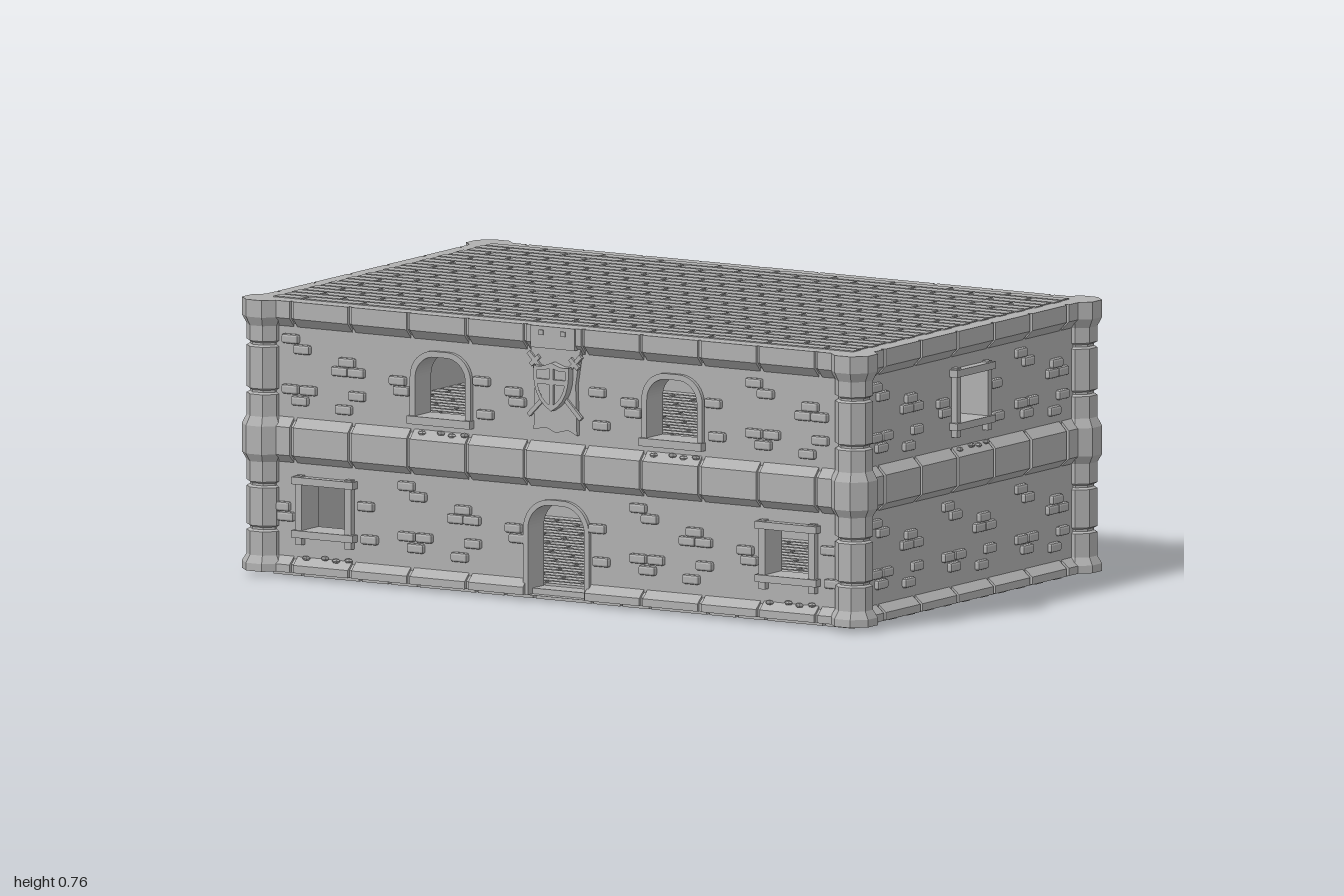
import * as THREE from 'three';
import { mergeGeometries } from 'three/addons/utils/BufferGeometryUtils.js';
import { RoundedBoxGeometry } from 'three/addons/geometries/RoundedBoxGeometry.js';

const stone = new THREE.MeshStandardMaterial({ color: 0xb0b0b0 });
stone.name = 'grey stone';

const UP = 0.373;   // height of one storey
const TILE = 0.37;  // the building follows a 5 x 3 grid of tiles

// Merge pieces into one named mesh with crisp edges
function part(parent, name, pieces) {
  const flat = pieces.map((g) => {
    const f = g.index ? g.toNonIndexed() : g;
    f.computeVertexNormals();
    return f;
  });
  const mesh = new THREE.Mesh(mergeGeometries(flat), stone);
  mesh.name = name;
  parent.add(mesh);
  return mesh;
}

const box = (w, h, d, x, y, z) => new THREE.BoxGeometry(w, h, d).translate(x, y, z);

function extrude(shape, depth, z = 0) {
  return new THREE.ExtrudeGeometry(shape, { depth, bevelEnabled: false, curveSegments: 6 }).translate(0, 0, z);
}

// Rectangle whose two top corners are rounded by r
function arch(path, x, half, y0, y1, r) {
  path.moveTo(x - half, y0);
  path.lineTo(x + half, y0);
  if (r) {
    path.lineTo(x + half, y1 - r);
    path.absarc(x + half - r, y1 - r, r, 0, Math.PI / 2);
    path.absarc(x - half + r, y1 - r, r, Math.PI / 2, Math.PI);
  } else {
    path.lineTo(x + half, y1);
    path.lineTo(x - half, y1);
  }
  path.closePath();
  return path;
}

// Running-bond paving; tiled also breaks it along the tile grid
function paving(y0, y1, hx, hz, tiled) {
  const out = [], rows = 24, pitch = (2 * hz) / rows, brick = TILE / 2, gap = 0.009;
  for (let r = 0; r < rows; r++) {
    const z = -hz + (r + 0.5) * pitch;
    const cuts = [-hx, hx];
    for (let i = -6; i <= 6; i++) cuts.push(i * brick + (r % 2 ? brick / 2 : 0));
    if (tiled) for (let i = -1.5; i <= 1.5; i++) cuts.push(i * TILE);
    const xs = cuts.filter((c) => Math.abs(c) <= hx).sort((a, b) => a - b);
    for (let i = 1; i < xs.length; i++) {
      const w = xs[i] - xs[i - 1] - gap, x = (xs[i] + xs[i - 1]) / 2;
      if (w < 0.01) continue;
      if (tiled && Math.abs(x) < TILE / 2 && Math.abs(z) < TILE / 2) continue;
      out.push(box(w, y1 - y0, pitch - gap, x, (y0 + y1) / 2, z));
    }
  }
  return out;
}

// Stone courses: profiles of [outward offset, y]
const courses = {
  topCourse: [[-0.02, 0.685], [0, 0.685], [0.024, 0.71], [0.024, 0.757], [-0.02, 0.757]],
  middleCourse: [[-0.02, 0.313], [0, 0.313], [0.024, 0.335], [0.024, 0.412], [0, 0.437], [-0.02, 0.437]],
  bottomCourse: [[-0.02, 0.015], [0.024, 0.015], [0.024, 0.036], [0, 0.057], [-0.02, 0.057]],
};

function course(profile, joints, inset, gap, skipDoor) {
  const shape = new THREE.Shape(profile.map(([d, y]) => new THREE.Vector2(d - inset, y)));
  const out = [];
  for (let i = 1; i < joints.length; i++) {
    const a = joints[i - 1] + gap / 2, b = joints[i] - gap / 2;
    if (skipDoor && Math.abs(a + b) < 0.01) continue;
    out.push(extrude(shape, b - a).rotateY(-Math.PI / 2).translate(b, 0, 0));
  }
  return out;
}

// Raised wall bricks: [u, y] inside one tile
const brickSpots = [
  [0.073, 0.279], [0.11, 0.252], [0.253, 0.228], [0.231, 0.202], [0.283, 0.202],
  [0.073, 0.141], [0.13, 0.141], [0.103, 0.111], [0.285, 0.138], [0.243, 0.098],
];
const besideOpening = [[-0.14, 0.192], [-0.127, 0.165], [0.128, 0.212], [0.14, 0.122]];

function wallBricks(tiles, openings) {
  const out = [];
  const add = (u, y) => out.push(new RoundedBoxGeometry(0.053, 0.026, 0.026, 1, 0.006).translate(u, y, 0));
  for (let floor = 0; floor < 2; floor++) {
    for (let t = 0; t < tiles; t++) {
      const start = (t - tiles / 2) * TILE;
      const open = openings.some((o) => o.floor === floor && Math.abs(o.u - start - TILE / 2) < 0.1);
      for (const [u, y] of brickSpots)
        if (!open || Math.abs(u - TILE / 2) > 0.13) add(start + u, y + floor * UP);
      if (open) for (const [u, y] of besideOpening) add(start + TILE / 2 + u, y + floor * UP);
    }
  }
  return out;
}

// One side of the building, facing local +z with the wall plane at z = 0
function side(name, angle, half, dist, tiles, openings) {
  const g = new THREE.Group();
  g.name = name;
  const door = openings.some((o) => o.type === 'door');
  const end = half - 0.01;
  const outline = new THREE.Shape();
  outline.moveTo(-end, 0.016);
  if (door) {
    outline.lineTo(-0.09, 0.016);
    outline.lineTo(-0.09, 0.195);
    outline.absarc(-0.02, 0.195, 0.07, Math.PI, Math.PI / 2, true);
    outline.absarc(0.02, 0.195, 0.07, Math.PI / 2, 0, true);
    outline.lineTo(0.09, 0.016);
  }
  outline.lineTo(end, 0.016);
  outline.lineTo(end, 0.745);
  outline.lineTo(-end, 0.745);
  outline.closePath();

  const frames = [], pebbles = [];
  for (const { u, floor, type } of openings) {
    const dy = floor * UP;
    if (type === 'square') {
      outline.holes.push(arch(new THREE.Path(), u, 0.07, 0.132 + dy, 0.262 + dy, 0));
      // timber frame with overlapping ends
      for (const s of [-1, 1]) frames.push(box(0.02, 0.19, 0.024, u + s * 0.079, 0.187 + dy, 0.006));
      for (const y of [0.122, 0.268]) frames.push(box(0.196, 0.02, 0.034, u, y + dy, 0.008));
    } else if (type === 'arched') {
      outline.holes.push(arch(new THREE.Path(), u, 0.08, 0.102 + dy, 0.267 + dy, 0.06));
      const ring = arch(new THREE.Shape(), u, 0.097, 0.085 + dy, 0.283 + dy, 0.075);
      ring.holes.push(arch(new THREE.Path(), u, 0.08, 0.102 + dy, 0.267 + dy, 0.06));
      frames.push(extrude(ring, 0.032, -0.02), box(0.2, 0.022, 0.045, u, 0.091 + dy, 0));
    } else if (type === 'door') {
      const ring = arch(new THREE.Shape(), u, 0.105, 0.014, 0.28, 0.085);
      ring.holes.push(arch(new THREE.Path(), u, 0.09, 0.0145, 0.265, 0.07));
      frames.push(extrude(ring, 0.032, -0.02));
    }
    if (type === 'square' || type === 'arched')
      [-0.06, 0, 0.035, 0.075].forEach((p, i) => pebbles.push(
        new THREE.SphereGeometry(0.011, 6, 4).scale(1.2, 0.6, 0.9).translate(u + p, 0.056 + dy + (i % 2) * 0.004, 0.008)));
  }
  part(g, 'wall', [extrude(outline, 0.07, -0.07)]);
  if (frames.length) part(g, 'openingFrames', frames);
  if (pebbles.length) part(g, 'pebbles', pebbles);
  part(g, 'wallBricks', wallBricks(tiles, openings));

  const limit = half - 0.03;
  const marks = [-0.838, -0.652, -0.465, -0.279, -0.093, 0.093, 0.279, 0.465, 0.652, 0.838];
  const joints = [-limit, ...marks.filter((m) => Math.abs(m) < limit), limit];
  for (const [key, profile] of Object.entries(courses)) {
    const skip = door && key === 'bottomCourse';
    const core = skip ? [-limit, -0.1, 0.1, limit] : [-limit, limit];
    part(g, key, [...course(profile, joints, 0, 0.011, skip), ...course(profile, core, 0.009, 0, skip)]);
  }
  g.rotation.y = angle;
  g.position.set(Math.sin(angle) * dist, 0, Math.cos(angle) * dist);
  return g;
}

// Hanging banner with a shield and two crossed blades
function banner() {
  const g = new THREE.Group();
  g.name = 'bannerWithShield';
  const cloth = new THREE.Shape([[-0.08, 0.7], [-0.066, 0.6], [-0.07, 0.47], [-0.03, 0.478], [0, 0.465],
    [0.04, 0.475], [0.068, 0.462], [0.064, 0.6], [0.08, 0.7]].map(([x, y]) => new THREE.Vector2(x, y)));
  part(g, 'cloth', [extrude(cloth, 0.014), box(0.14, 0.06, 0.032, 0, 0.727, 0.014),
    ...[-1, 1].map((s) => box(0.014, 0.014, 0.008, s * 0.035, 0.74, 0.03))]);
  const shield = (k) => {
    const s = new THREE.Shape();
    s.moveTo(0, 0.065 * k);
    s.quadraticCurveTo(0.035 * k, 0.048 * k, 0.056 * k, 0.055 * k);
    s.bezierCurveTo(0.06 * k, 0, 0.045 * k, -0.045 * k, 0, -0.068 * k);
    s.bezierCurveTo(-0.045 * k, -0.045 * k, -0.06 * k, 0, -0.056 * k, 0.055 * k);
    s.quadraticCurveTo(-0.035 * k, 0.048 * k, 0, 0.065 * k);
    return s;
  };
  const rim = shield(1);
  rim.holes.push(shield(0.8));
  part(g, 'shield', [extrude(shield(0.9), 0.02, 0.01), extrude(rim, 0.028, 0.01),
    box(0.014, 0.11, 0.02, 0, 0, 0.027), box(0.09, 0.014, 0.02, 0, 0.012, 0.027)]).position.y = 0.595;
  part(g, 'crossedBlades', [-1, 1].flatMap((s) => [box(0.24, 0.012, 0.01, 0, 0, 0), box(0.012, 0.036, 0.012, 0.09, 0, 0)]
    .map((b) => b.rotateZ(s > 0 ? 0.8 : Math.PI - 0.8).translate(0, 0.595, 0.016))));
  g.position.z = 0.578;
  return g;
}

// Octagonal corner post: wide at the courses, grooved between them
function post(x, z) {
  const W = 0.06, S = 0.048, G = 0.04;
  const rows = [[0, 0.015], [W, 0.015], [W, 0.036], [S, 0.057]];
  const grooves = (...ys) => ys.forEach((y) => rows.push([S, y - 0.008], [G, y - 0.003], [G, y + 0.003], [S, y + 0.008]));
  grooves(0.13, 0.25);
  rows.push([S, 0.313], [W, 0.335], [W, 0.412], [S, 0.437]);
  grooves(0.505, 0.635);
  rows.push([S, 0.685], [W, 0.71], [W, 0.757], [0, 0.757]);
  const k = 1 / Math.cos(Math.PI / 8);
  return new THREE.LatheGeometry(rows.map(([r, y]) => new THREE.Vector2(r * k, y)), 8, Math.PI / 8).translate(x, 0, z);
}

export function createModel() {
  const model = new THREE.Group();
  model.name = 'stoneBuilding';

  model.add(side('frontSide', 0, 0.948, 0.578, 5, [
    { u: -0.37, floor: 1, type: 'arched' }, { u: 0.37, floor: 1, type: 'arched' },
    { u: -0.74, floor: 0, type: 'square' }, { u: 0.74, floor: 0, type: 'square' },
    { u: 0, floor: 0, type: 'door' }, { u: 0, floor: 1, type: 'banner' }]));
  model.add(side('backSide', Math.PI, 0.948, 0.578, 5, [
    { u: -0.37, floor: 1, type: 'square' }, { u: 0.37, floor: 1, type: 'square' }, { u: -0.37, floor: 0, type: 'square' }]));
  model.add(side('leftSide', Math.PI / 2, 0.578, 0.948, 3, [{ u: 0, floor: 1, type: 'square' }]));
  model.add(side('rightSide', -Math.PI / 2, 0.578, 0.948, 3, [{ u: 0, floor: 0, type: 'square' }]));
  model.add(banner());

  const corners = [];
  for (const x of [-0.94, 0.94]) for (const z of [-0.57, 0.57]) corners.push(post(x, z));
  part(model, 'cornerPosts', corners);

  // Roof and floors
  part(model, 'roofSlab', [box(1.86, 0.05, 1.12, 0, 0.723, 0)]);
  part(model, 'roofPaving', paving(0.74, 0.76, 0.93, 0.557, false));
  part(model, 'upperFloor', [box(1.8, 0.05, 1.06, 0, 0.375, 0), ...paving(0.395, 0.41, 0.88, 0.51, false)]);
  part(model, 'groundFloor', [box(1.88, 0.02, 1.13, 0, 0.02, 0), ...paving(0.025, 0.037, 0.88, 0.51, false)]);
  part(model, 'undersidePaving', paving(0, 0.014, 0.93, 0.557, true));

  // Underside centre medallion
  const medal = [box(0.36, 0.01, 0.36, 0, 0.009, 0)];
  for (let i = 0; i < 4; i++)
    medal.push(box(0.075, 0.008, 0.075, 0, 0.004, 0).rotateY(Math.PI / 4).translate(0.1, 0, 0).rotateY(i * Math.PI / 2));
  medal.push(new THREE.CylinderGeometry(0.05, 0.05, 0.008, 8).translate(0, 0.004, 0));
  part(model, 'undersideMedallion', medal);

  // Furnishings glimpsed through the openings
  const steps = [];
  for (let i = 0; i < 9; i++) steps.push(box(0.2, 0.035 * (i + 1), 0.06, 0.76, 0.03 + 0.0175 * (i + 1), 0.38 - i * 0.06));
  part(model, 'staircase', steps);
  part(model, 'crates', [box(0.13, 0.1, 0.12, 0.34, 0.46, 0.2), box(0.07, 0.05, 0.08, 0.36, 0.535, 0.2)]);
  part(model, 'barrel', [new THREE.CylinderGeometry(0.05, 0.05, 0.13, 10).translate(-0.76, 0.1, 0.36)]);
  return model;
}
